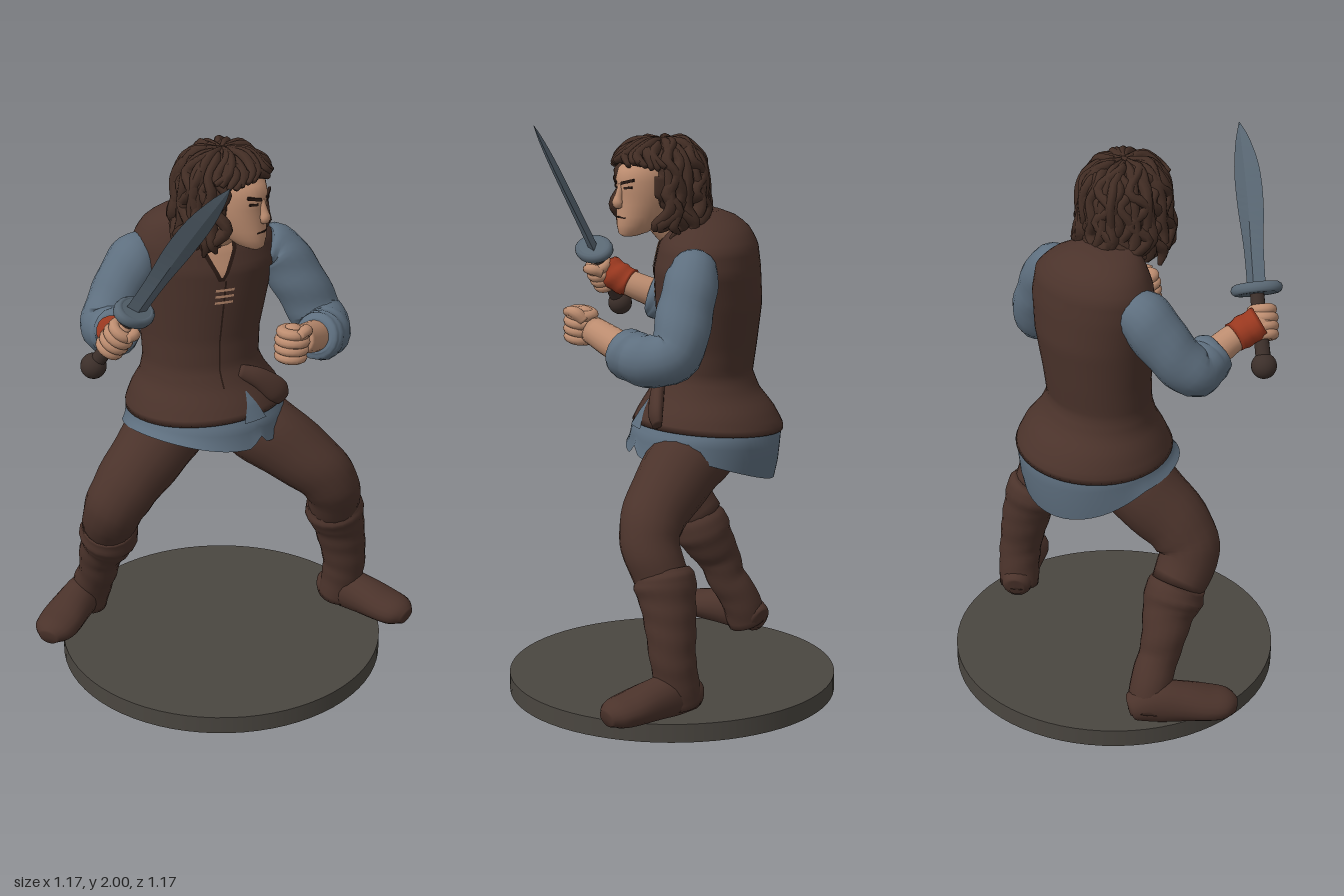
import * as THREE from 'three';

const V3 = (x, y, z) => new THREE.Vector3(x, y, z);
const paint = (name, color, side = THREE.FrontSide) => {
  const m = new THREE.MeshStandardMaterial({ color, side });
  m.name = name;
  return m;
};

export function createModel() {
  const leather = paint('brown leather', 0x4b332b);
  const hairMat = paint('dark hair', 0x422d24);
  const cloth = paint('blue cloth', 0x5e6f7f, THREE.DoubleSide);
  const skin = paint('skin', 0xbd8d70, THREE.DoubleSide);
  const red = paint('red wrap', 0x99381f);
  const steel = paint('steel', 0x586672);
  const stone = paint('base grey', 0x4a4640);
  const grip = paint('dark grip', 0x3c2f2a);
  const dark = paint('face lines', 0x2a1a14, THREE.DoubleSide);

  const root = new THREE.Group();
  root.name = 'swordsman';
  const add = (name, geo, mat, parent = root) => {
    const m = new THREE.Mesh(geo, mat);
    m.name = name;
    parent.add(m);
    return m;
  };

  // Skin a list of closed rings, with optional end caps
  function loft(rings, caps = true) {
    const pos = [], idx = [], n = rings[0].length, last = (rings.length - 1) * n;
    rings.forEach(r => r.forEach(p => pos.push(p.x, p.y, p.z)));
    for (let i = 0; i < rings.length - 1; i++) for (let j = 0; j < n; j++) {
      const a = i * n + j, b = i * n + (j + 1) % n;
      idx.push(a, b, a + n, b, b + n, a + n);
    }
    if (caps) for (const end of [0, 1]) {
      const ring = rings[end ? rings.length - 1 : 0], o = end ? last : 0, k = pos.length / 3;
      const c = ring.reduce((s, p) => s.add(p), V3(0, 0, 0)).divideScalar(n);
      pos.push(c.x, c.y, c.z);
      for (let j = 0; j < n; j++) {
        const a = o + j, b = o + (j + 1) % n;
        end ? idx.push(a, b, k) : idx.push(b, a, k);
      }
    }
    const g = new THREE.BufferGeometry();
    g.setAttribute('position', new THREE.Float32BufferAttribute(pos, 3));
    g.setIndex(idx);
    g.computeVertexNormals();
    return g;
  }
  const around = (fn, n = 48) => Array.from({ length: n }, (_, j) => fn(j / n * Math.PI * 2));

  // Tube through [x, y, z, radius, second radius] with changing thickness
  function limb(pts, { seg = 18, steps = 5, ref = V3(0, 0, 1), floor = -1, fold = 0 } = {}) {
    const path = new THREE.CatmullRomCurve3(pts.map(p => V3(p[0], p[1], p[2])), false, 'catmullrom');
    const rad = new THREE.CatmullRomCurve3(pts.map(p => V3(p[3], p[4] ?? p[3], 0)), false, 'catmullrom');
    const n = (pts.length - 1) * steps, rings = [], v = ref.clone();
    for (let i = 0; i <= n; i++) {
      const c = path.getPoint(i / n), t = path.getTangent(i / n), r = rad.getPoint(i / n);
      v.addScaledVector(t, -v.dot(t)).normalize();
      const u = t.clone().cross(v);
      rings.push(around(a => {
        const k = 1 + fold * Math.sin(i * 1.3 + 2.5 * Math.sin(a));
        const p = c.clone().addScaledVector(u, Math.sin(a) * r.x * k).addScaledVector(v, Math.cos(a) * r.y * k);
        p.y = Math.max(p.y, floor);
        return p;
      }, seg));
    }
    return loft(rings);
  }

  // Base
  add('base', new THREE.CylinderGeometry(0.583, 0.583, 0.065, 72), stone).position.y = 0.0325;

  // Torso: turned ellipses [y, centre x, centre z, half width, half depth]
  const body = [
    [0.97, 0.053, -0.112, 0.285, 0.268], [1.03, 0.05, -0.112, 0.262, 0.236], [1.09, 0.04, -0.112, 0.225, 0.192],
    [1.15, 0.033, -0.117, 0.205, 0.168], [1.25, 0.04, -0.124, 0.21, 0.172], [1.4, 0.05, -0.122, 0.232, 0.185],
    [1.52, 0.052, -0.114, 0.25, 0.184], [1.6, 0.05, -0.12, 0.24, 0.17], [1.65, 0.038, -0.125, 0.2, 0.148],
    [1.69, 0.018, -0.125, 0.142, 0.118], [1.715, 0.005, -0.105, 0.085, 0.08]];
  const yaw = 0.785;
  function bodyPoint(y, a, k = 1) {
    let i = 0;
    while (i < body.length - 2 && y > body[i + 1][0]) i++;
    const f = THREE.MathUtils.clamp((y - body[i][0]) / (body[i + 1][0] - body[i][0]), 0, 1);
    const [, cx, cz, w, d] = body[i].map((q, s) => q + (body[i + 1][s] - q) * f);
    const lx = Math.sin(a) * w * k, lz = Math.cos(a) * d * k;
    return V3(cx + lx * Math.cos(yaw) - lz * Math.sin(yaw), y, cz + lx * Math.sin(yaw) + lz * Math.cos(yaw));
  }
  add('vest', loft(Array.from({ length: 39 }, (_, i) => around(a => {
    const hem = 0.965 + 0.022 * Math.cos(a - yaw);
    return bodyPoint(hem + (1.715 - hem) * i / 38, a);
  }))), leather);

  // Shirt tail: long and tucked under at the back, flared with a small slit in front
  add('shirtTail', loft([0, 0.33, 0.66, 1, 2].map(t => around(a => {
    const x = bodyPoint(0.97, a).x, back = Math.max(0, -Math.cos(a));
    const slit = 0.04 * Math.max(0, 1 - Math.abs(a - 0.6) / 0.12);
    const low = 0.875 - 0.115 * back + (x < 0 ? 1.0 : 0.3) * x * x + slit;
    const hemK = 1.01 + 0.03 * Math.max(0, Math.cos(a)) - 0.12 * back + 0.25 * Math.max(0, -x) * (1 - back);
    const p = bodyPoint(0.97, a, t > 1 ? 0.86 : hemK + (0.985 - hemK) * Math.pow(t, 0.6));
    p.y = t > 1 ? 1.03 : low + (0.965 - low) * t;
    return p;
  }, 72)), false), cloth);

  // Patches lying on the vest: open neck, laces, front edge and shirt showing below the waist
  function patch(name, mat, y0, y1, mid, half, k) {
    const pos = [], idx = [], n = 12;
    for (let i = 0; i <= n; i++) for (let j = 0; j <= 6; j++)
      pos.push(...bodyPoint(y0 + (y1 - y0) * i / n, mid + half(i / n) * (j / 3 - 1), k).toArray());
    for (let i = 0; i < n; i++) for (let j = 0; j < 6; j++) {
      const a = i * 7 + j;
      idx.push(a, a + 1, a + 7, a + 1, a + 8, a + 7);
    }
    const g = new THREE.BufferGeometry();
    g.setAttribute('position', new THREE.Float32BufferAttribute(pos, 3));
    g.setIndex(idx);
    g.computeVertexNormals();
    add(name, g, mat);
  }
  patch('neckTrim', dark, 1.49, 1.66, 0.15, t => 0.04 + 0.34 * t, 1.015);
  patch('openNeck', skin, 1.505, 1.665, 0.15, t => 0.01 + 0.3 * t, 1.03);
  patch('vestFrontEdge', dark, 1.09, 1.49, 0.22, () => 0.014, 1.008);
  for (const y of [1.405, 1.428, 1.451]) patch('lace', skin, y, y + 0.009, 0.22, () => 0.14, 1.014);
  patch('frontGap', cloth, 0.975, 1.07, 0.55, t => 0.16 * (1 - t) + 0.01, 1.012);
  add('sashEnd', limb([[0.02, 1.13, 0.06, 0.025, 0.02], [0.07, 1.1, 0.11, 0.036, 0.024],
    [0.12, 1.045, 0.15, 0.045, 0.024], [0.145, 1.005, 0.16, 0.03, 0.015]]), leather);
  const hips = add('hips', new THREE.SphereGeometry(1, 28, 18), leather);
  hips.scale.set(0.2, 0.085, 0.16);
  hips.position.set(0.045, 0.9, -0.11);
  hips.rotation.y = -yaw;

  // Legs, boots and feet
  const legs = {
    left: {
      thigh: [[0.13, 0.92, -0.06, 0.13], [0.165, 0.84, 0.08, 0.132], [0.24, 0.72, 0.24, 0.112], [0.287, 0.63, 0.285, 0.1], [0.333, 0.52, 0.265, 0.092]],
      boot: [[0.325, 0.55, 0.262, 0.094], [0.34, 0.51, 0.262, 0.108], [0.362, 0.45, 0.265, 0.096], [0.382, 0.37, 0.268, 0.088], [0.398, 0.28, 0.272, 0.08], [0.405, 0.2, 0.262, 0.077], [0.405, 0.1, 0.243, 0.074]],
      foot: [0.405, 0.172, 0.02]
    },
    right: {
      thigh: [[-0.04, 0.92, -0.16, 0.135], [-0.13, 0.83, -0.19, 0.135], [-0.26, 0.71, -0.22, 0.118], [-0.303, 0.62, -0.25, 0.107], [-0.27, 0.52, -0.305, 0.095]],
      boot: [[-0.28, 0.53, -0.295, 0.094], [-0.26, 0.48, -0.312, 0.107], [-0.245, 0.43, -0.335, 0.094], [-0.235, 0.36, -0.375, 0.08], [-0.22, 0.28, -0.4, 0.072], [-0.2, 0.2, -0.445, 0.073], [-0.195, 0.1, -0.48, 0.073]],
      foot: [-0.128, -0.498, -1.35]
    }
  };
  for (const [side, leg] of Object.entries(legs)) {
    add(side + 'TrouserLeg', limb(leg.thigh, { fold: 0.015 }), leather);
    add(side + 'Boot', limb(leg.boot, { fold: 0.016 }), leather);
    const foot = add(side + 'Foot', limb([[0, 0.12, 0, 0.03, 0.035], [0, 0.125, 0.02, 0.055, 0.055], [0, 0.138, 0.1, 0.066, 0.078],
      [0, 0.134, 0.19, 0.074, 0.07], [0, 0.124, 0.28, 0.081, 0.057], [0, 0.118, 0.34, 0.07, 0.048], [0, 0.108, 0.376, 0.035, 0.028]],
    { ref: V3(0, 1, 0), floor: 0.074 }), leather);
    foot.position.set(leg.foot[0], 0, leg.foot[1]);
    foot.rotation.y = leg.foot[2];
  }

  // Sleeves, forearms and wrist wrap
  add('leftSleeve', limb([[0.19, 1.545, 0.045, 0.065], [0.225, 1.525, 0.07, 0.088], [0.267, 1.415, 0.13, 0.096], [0.298, 1.29, 0.19, 0.093],
    [0.26, 1.26, 0.26, 0.088], [0.19, 1.27, 0.29, 0.086], [0.15, 1.285, 0.3, 0.08], [0.135, 1.29, 0.303, 0.058]], { fold: 0.025 }), cloth);
  add('rightSleeve', limb([[-0.08, 1.555, -0.24, 0.07], [-0.145, 1.52, -0.262, 0.094], [-0.228, 1.42, -0.278, 0.09], [-0.305, 1.34, -0.265, 0.086],
    [-0.34, 1.345, -0.2, 0.083], [-0.358, 1.36, -0.165, 0.078], [-0.368, 1.365, -0.153, 0.058]], { fold: 0.025 }), cloth);
  add('leftForearm', limb([[0.2, 1.27, 0.28, 0.055], [0.1, 1.3, 0.305, 0.054], [0.0, 1.335, 0.328, 0.048]]), skin);
  add('rightForearm', limb([[-0.34, 1.35, -0.2, 0.055], [-0.41, 1.39, -0.12, 0.049], [-0.49, 1.43, -0.06, 0.045]]), skin);
  add('wristWrap', limb([[-0.425, 1.398, -0.11, 0.052], [-0.463, 1.417, -0.083, 0.056], [-0.507, 1.442, -0.065, 0.055]], { fold: 0.04 }), red);

  // Closed fist curled round its own upright axis
  function fist(name) {
    const g = new THREE.Group();
    g.name = name;
    const palm = add('palm', new THREE.SphereGeometry(1, 20, 14), skin, g);
    palm.scale.set(0.048, 0.069, 0.048);
    for (let i = 0; i < 4; i++) {
      const f = add('finger', new THREE.TorusGeometry(0.037 - Math.abs(i - 1.7) * 0.003, 0.019, 10, 18), skin, g);
      f.rotation.x = Math.PI / 2;
      f.position.set(-0.006, -0.042 + i * 0.028, 0.006);
    }
    add('thumb', limb([[0.03, 0.03, 0.02, 0.02], [0.01, 0.055, 0.042, 0.02], [-0.03, 0.045, 0.045, 0.015]], { seg: 10 }), skin, g);
    root.add(g);
    return g;
  }
  const leftHand = fist('leftHand');
  leftHand.position.set(-0.05, 1.343, 0.332);
  leftHand.scale.set(1.15, 1, 1.1);
  leftHand.rotation.z = -0.15;

  // Sword
  const tilt = new THREE.Quaternion().setFromUnitVectors(V3(0, 1, 0), V3(0.145, 0.69, 0.45).normalize());
  const rightHand = fist('rightHand');
  rightHand.position.set(-0.508, 1.43, -0.048);
  rightHand.quaternion.copy(tilt);
  const sword = new THREE.Group();
  sword.name = 'sword';
  sword.position.set(-0.53, 1.31, -0.13);
  sword.quaternion.copy(tilt);
  root.add(sword);
  add('pommel', new THREE.SphereGeometry(0.044, 18, 14), grip, sword);
  add('handle', new THREE.CylinderGeometry(0.024, 0.026, 0.26, 14), grip, sword).position.y = 0.13;
  const guard = add('guard', new THREE.CylinderGeometry(0.075, 0.065, 0.035, 28), steel, sword);
  const rim = add('guardRim', new THREE.TorusGeometry(0.07, 0.019, 10, 32), steel, sword);
  guard.position.y = rim.position.y = 0.262;
  guard.scale.z = rim.scale.y = 0.7;
  rim.rotation.x = Math.PI / 2;
  const blade = limb([[0, 0.26, 0, 0.038, 0.017], [-0.004, 0.4, 0, 0.041, 0.016], [-0.008, 0.55, 0, 0.054, 0.015],
    [-0.006, 0.67, 0, 0.052, 0.013], [0, 0.77, 0, 0.03, 0.008], [0.006, 0.836, 0, 0.002, 0.001]], { seg: 4 }).toNonIndexed();
  blade.computeVertexNormals();
  add('blade', blade, steel, sword).rotation.y = -0.5;

  // Head and face: level rings [y, centre z, half width, half depth]
  add('neck', limb([[0.01, 1.6, -0.07, 0.075], [-0.01, 1.67, 0.0, 0.068], [-0.03, 1.75, 0.06, 0.07]]), skin);
  const face = [[1.64, 0.155, 0.02, 0.028], [1.65, 0.14, 0.038, 0.055], [1.68, 0.112, 0.06, 0.088], [1.71, 0.1, 0.072, 0.098],
    [1.75, 0.093, 0.082, 0.102], [1.79, 0.09, 0.087, 0.104], [1.83, 0.087, 0.087, 0.112], [1.87, 0.078, 0.084, 0.11], [1.92, 0.06, 0.055, 0.075]];
  add('head', loft(face.map(([y, cz, w, d]) => around(a => V3(-0.03 + Math.sin(a) * w, y, cz + Math.cos(a) * d), 32))), skin);
  add('nose', limb([[-0.03, 1.82, 0.186, 0.01, 0.012], [-0.03, 1.78, 0.198, 0.013, 0.015], [-0.03, 1.755, 0.204, 0.019, 0.018], [-0.03, 1.74, 0.196, 0.012, 0.01]], { seg: 10 }), skin);
  for (const s of [-1, 1]) {
    const line = (name, x, y, z, w, h, roll) => {
      const m = add(name, new THREE.BoxGeometry(w, h, 0.009), dark);
      m.position.set(-0.03 + s * x, y, z);
      m.rotation.set(0, s * 0.42, s * roll);
    };
    line('brow', 0.038, 1.83, 0.188, 0.052, 0.01, 0.25);
    line('eye', 0.037, 1.809, 0.184, 0.032, 0.008, 0.12);
    line('mouthHalf', 0.013, 1.706, 0.193, 0.028, 0.005, -0.1);
  }

  // Hair: lumpy cap pulled in behind the face, then wavy locks
  const cap = new THREE.SphereGeometry(1, 56, 40), cp = cap.attributes.position;
  for (let i = 0; i < cp.count; i++) {
    const d = V3().fromBufferAttribute(cp, i);
    const open = d.z > 0.22 && d.y < 0.45 && Math.abs(d.x) < 0.75;
    const k = open ? 0.6 : 1 + 0.025 * Math.sin(d.y * 16 + 5 * d.x) * Math.cos(d.x * 11 + d.z * 9);
    cp.setXYZ(i, -0.03 + d.x * 0.142 * k, 1.815 + d.y * 0.152 * k, 0.025 + d.z * 0.163 * k);
  }
  cap.computeVertexNormals();
  add('hairCap', cap, hairMat);
  const locks = 46;
  for (let i = 0; i < locks; i++) {
    const a = (i + 0.5) / locks * Math.PI * 2, front = Math.cos(a) > 0.52, w = Math.sin(i * 7.3), q = Math.cos(i * 4.1);
    const at = (r, y, th, turn) => [-0.03 + Math.sin(a + turn) * r, y, 0.025 + Math.cos(a + turn) * r * 1.06, th, th * 0.8];
    const top = [at(0.03 + 0.02 * q, 1.955 + 0.006 * w, 0.012, 0.5 * w), at(0.085, 1.942 + 0.01 * w, 0.021, 0.3 * w)];
    const rest = front ? [at(0.132, 1.914, 0.022, -0.1 * q), at(0.158, 1.884 + 0.01 * w, 0.011, 0.2 * Math.sign(Math.sin(a)))]
      : [at(0.124 + 0.006 * q, 1.9, 0.022, -0.2 * q), at(0.14 + 0.008 * q, 1.85, 0.023, 0.22 * w), at(0.142, 1.79, 0.026, -0.2 * q),
        at(0.146 + 0.012 * w, 1.735, 0.026, 0.22 * w), at(0.15 + 0.012 * q, 1.685, 0.024, -0.18 * w), at(0.135 + 0.025 * q, 1.65 + 0.025 * w, 0.008, 0.15 * q)];
    add('hairLock', limb([...top, ...rest], { seg: 8, steps: 4, ref: V3(Math.cos(a), 0, -Math.sin(a)) }), hairMat);
  }
  return root;
}
